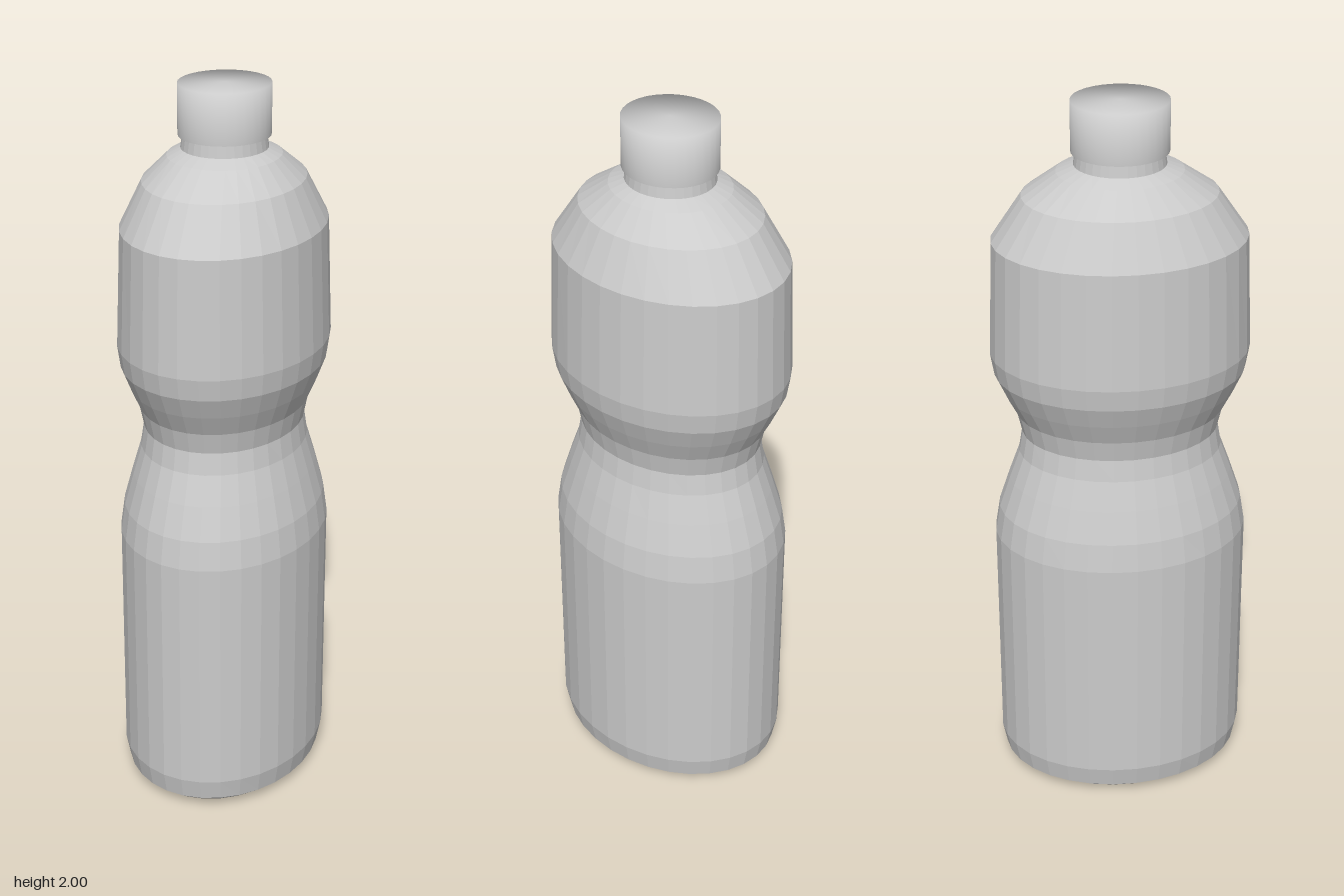
import * as THREE from 'three';

const SIDES = 32;

// Oval lathe: each ring is [radius along x, radius along z, height], listed bottom to top
function ovalLathe(rings) {
  const points = rings.map(([rx, , y]) => new THREE.Vector2(rx, y));
  const geometry = new THREE.LatheGeometry(points, SIDES);
  const pos = geometry.attributes.position;
  for (let i = 0; i < pos.count; i++) {
    const [rx, rz] = rings[i % rings.length];
    if (rx > 0) pos.setZ(i, pos.getZ(i) * rz / rx);
  }
  geometry.computeBoundingSphere();
  return geometry;
}

function addPart(group, name, rings, flatShading) {
  const material = new THREE.MeshStandardMaterial({ color: 0xcccccc, flatShading });
  const mesh = new THREE.Mesh(ovalLathe(rings), material);
  mesh.name = name;
  group.add(mesh);
}

export function createModel() {
  const bottle = new THREE.Group();
  bottle.name = 'bottle';

  // Faceted body: base, lower body, grip waist, upper body, shoulder
  addPart(bottle, 'body', [
    [0, 0, 0],
    [0.235, 0.305, 0.003],
    [0.268, 0.341, 0.03],
    [0.28, 0.353, 0.09],
    [0.28, 0.353, 0.76],
    [0.269, 0.34, 0.84],
    [0.245, 0.31, 0.93],
    [0.222, 0.281, 1.01],
    [0.213, 0.271, 1.07],
    [0.225, 0.285, 1.13],
    [0.25, 0.316, 1.19],
    [0.272, 0.343, 1.25],
    [0.28, 0.353, 1.31],
    [0.268, 0.342, 1.63],
    [0.212, 0.26, 1.75],
    [0.15, 0.168, 1.812],
    [0.115, 0.122, 1.83],
  ], true);

  // Neck with the flat underside of the cap
  addPart(bottle, 'neck', [
    [0.115, 0.122, 1.83],
    [0.11, 0.117, 1.864],
    [0.122, 0.129, 1.864],
  ], true);

  // Smooth screw cap, closed on top
  addPart(bottle, 'cap', [
    [0.122, 0.129, 1.864],
    [0.122, 0.129, 2],
    [0, 0, 2],
  ], false);

  return bottle;
}
